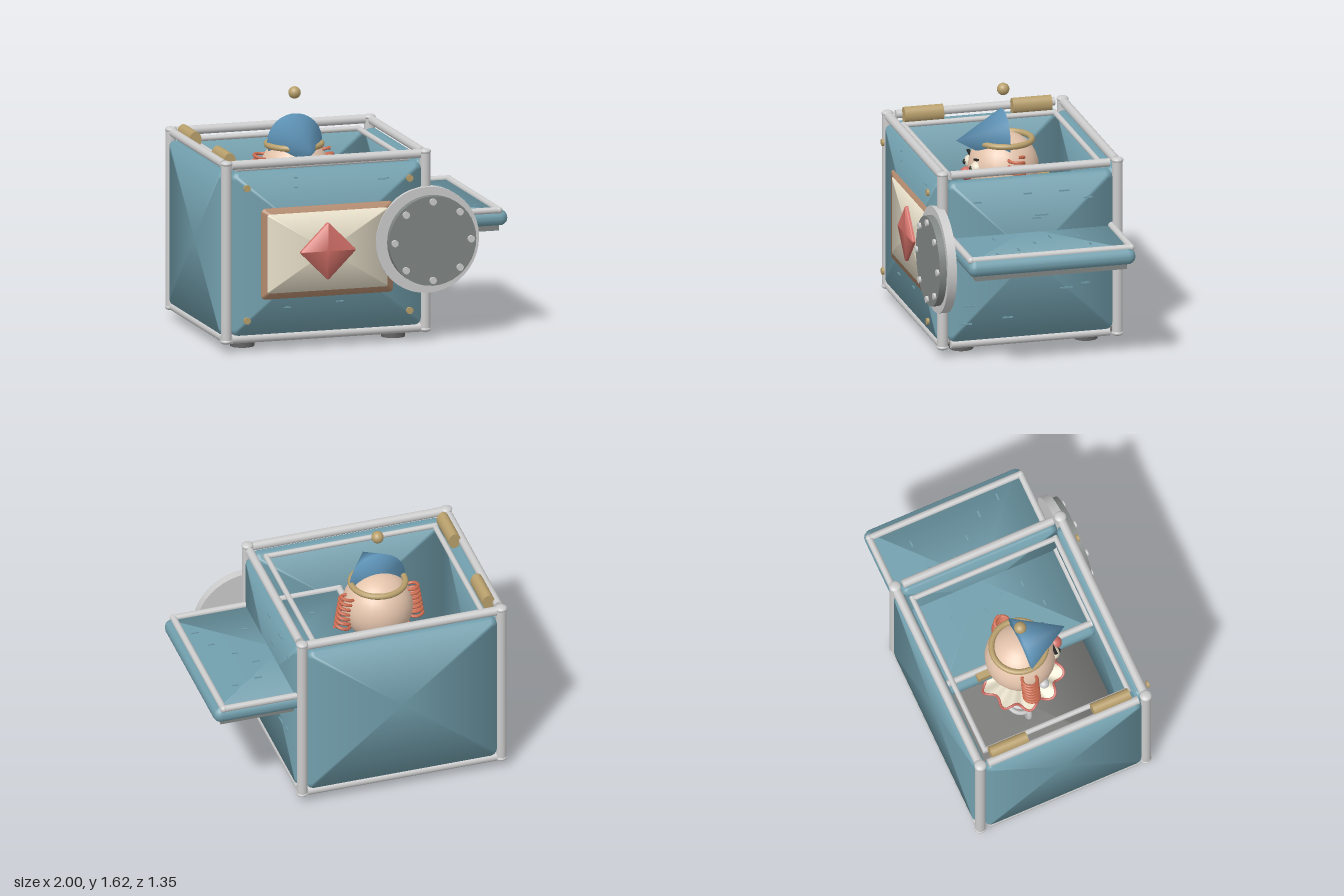
import * as THREE from 'three';
import { mergeVertices } from 'three/addons/utils/BufferGeometryUtils.js';

const C = { blue: 0x719eac, hat: 0x5f94b8, steel: 0xcccccc, dark: 0x808684, floor: 0x7c7c7a, foot: 0x626262,
  gold: 0xb89f6c, copper: 0xb0886c, cream: 0xe6dec8, red: 0xcf6e66, skin: 0xe4c4ac, hair: 0xcc6c50, black: 0x262626 };
const CX = -0.275, CZ = -0.04; // centre of the box

export function createModel() {
  const root = new THREE.Group();
  const mats = {};
  const mat = (c, open) => mats[c + (open ? 'o' : '')] ??= new THREE.MeshStandardMaterial({
    color: C[c], side: open ? THREE.DoubleSide : THREE.FrontSide });
  const add = (name, geo, color, x = 0, y = 0, z = 0, open = false) => {
    const m = new THREE.Mesh(geo, mat(color, open));
    m.name = name;
    m.position.set(x, y, z);
    root.add(m);
    return m;
  };
  const ball = (name, r, color, x, y, z) => add(name, new THREE.SphereGeometry(r, 24, 16), color, x, y, z);
  // Round bar between two points
  const bar = (name, a, b, r, color = 'steel') => {
    const p = new THREE.Vector3(...a), q = new THREE.Vector3(...b);
    const m = add(name, new THREE.CylinderGeometry(r, r, p.distanceTo(q), 40), color);
    m.position.copy(p).lerp(q, 0.5);
    m.quaternion.setFromUnitVectors(new THREE.Vector3(0, 1, 0), q.sub(p).normalize());
    return m;
  };
  // Upright coil centred on its own origin
  const coil = (name, r, height, turns, wire, color, x, y, z) => {
    const pts = [];
    for (let i = 0; i <= turns * 12; i++) {
      const a = i / 12 * Math.PI * 2;
      pts.push(new THREE.Vector3(r * Math.cos(a), height * (i / (turns * 12) - 0.5), r * Math.sin(a)));
    }
    return add(name, new THREE.TubeGeometry(new THREE.CatmullRomCurve3(pts), turns * 20, wire, 8), color, x, y, z);
  };

  // Four walls in the plane of the posts, and floor
  for (const s of [-1, 1]) {
    add(s > 0 ? 'frontWall' : 'backWall', softPanel(1.31, 1.1, 0.08, 0.05), 'blue', CX, 0.65, CZ + s * 0.585);
    add(s > 0 ? 'leftWall' : 'rightWall', softPanel(1.12, 1.1, 0.08, 0.05), 'blue', CX + s * 0.675, 0.65, CZ).rotation.y = Math.PI / 2;
  }
  add('floor', softPanel(1.34, 1.16, 0.05, 0.04), 'floor', CX, 0.085, CZ).rotation.x = Math.PI / 2;

  // Corner posts, rails, inner rim, feet and hinges
  const px = 0.685, pz = 0.595;
  for (const sx of [-1, 1]) {
    for (const sz of [-1, 1]) {
      const x = CX + sx * px, z = CZ + sz * pz;
      bar('cornerPost', [x, 0.065, z], [x, 1.265, z], 0.035);
      for (const y of [0.07, 1.26]) ball('postCap', 0.04, 'steel', x, y, z).scale.y = 0.5;
      add('foot', new THREE.CylinderGeometry(0.08, 0.08, 0.07, 24), 'foot', CX + sx * 0.52, 0.035, CZ + sz * 0.423);
    }
    for (const y of [0.083, 1.247]) {
      bar('sideRail', [CX + sx * px, y, CZ - 0.54], [CX + sx * px, y, CZ + 0.54], 0.028);
      bar('longRail', [CX - 0.65, y, CZ + sx * pz], [CX + 0.65, y, CZ + sx * pz], 0.03);
    }
    bar('innerRim', [CX + sx * 0.58, 1.203, CZ - 0.515], [CX + sx * 0.58, 1.203, CZ + 0.515], 0.018);
    bar('innerRim', [CX - 0.595, 1.203, CZ + sx * 0.515], [CX + 0.595, 1.203, CZ + sx * 0.515], 0.018);
    const hz = CZ + sx * 0.368;
    bar('hinge', [-0.905, 1.255, hz - 0.133], [-0.905, 1.255, hz + 0.133], 0.042, 'gold').scale.z = 1.3;
  }

  // Lid lying level through the left wall
  add('lid', softPanel(1.27, 1.14, 0.105, 0.053, 0.05), 'blue', 0.365, 0.768, CZ).rotation.x = Math.PI / 2;
  add('lidUnderside', new THREE.BoxGeometry(1.16, 0.045, 1.03), 'dark', 0.365, 0.702, CZ);
  for (const s of [-1, 1]) {
    const x = 0.365 + s * 0.57, z = CZ + s * 0.545;
    bar('lidRail', [x, 0.822, CZ - 0.545], [x, 0.822, CZ + 0.545], 0.022);
    bar('lidRail', [-0.205, 0.822, z], [0.935, 0.822, z], 0.022);
    for (const t of [-1, 1]) ball('lidRailCap', 0.024, 'steel', x, 0.822, CZ + t * 0.545);
  }

  // Framed plaque with a diamond on the front wall
  add('plaqueFrame', softPanel(0.91, 0.61, 0.08, 0.03, 0.01), 'copper', CX, 0.645, 0.556);
  add('plaque', softPanel(0.83, 0.53, 0.06, 0.015, 0.008), 'cream', CX, 0.645, 0.572);
  add('plaqueDiamond', softPanel(0.275, 0.275, 0.04, 0.012, 0.01), 'red', -0.277, 0.645, 0.604).rotation.z = Math.PI / 4;
  for (const x of [-0.838, 0.283]) for (const y of [0.213, 1.1])
    bar('brassStud', [x, y, 0.614], [x, y, 0.63], 0.023, 'gold');

  // Crank plate with a ring of bolts
  bar('crankPlate', [0.41, 0.677, 0.553], [0.41, 0.677, 0.613], 0.355);
  bar('crankDisc', [0.43, 0.677, 0.61], [0.43, 0.677, 0.66], 0.3, 'dark');
  for (let i = 0; i < 8; i++) {
    const a = i * Math.PI / 4, x = 0.43 + 0.263 * Math.cos(a), y = 0.677 + 0.263 * Math.sin(a);
    bar('crankBolt', [x, y, 0.65], [x, y, 0.676], 0.023);
  }

  // Scratches on the left wall, front wall and lid
  const scratch = (x, y, z, sx, sy, sz) => add('scratch', new THREE.BoxGeometry(sx, sy, sz), 'blue', x, y, z);
  for (const [z, y, l] of [[0.325, 1.055, 0.05], [-0.015, 1.09, 0.055], [-0.265, 1.09, 0.07], [-0.43, 1.03, 0.06],
    [-0.11, 0.935, 0.09], [-0.08, 0.917, 0.06], [-0.14, 0.65, 0.03], [-0.18, 0.62, 0.02], [-0.31, 0.598, 0.08],
    [0.04, 0.565, 0.05], [-0.41, 0.443, 0.06], [-0.28, 0.42, 0.08], [0.375, 0.345, 0.07], [0.12, 0.248, 0.07], [0.41, 0.223, 0.09]])
    scratch(0.44, y, z, 0.012, 0.01, l);
  for (const [x, y, l] of [[-0.49, 1.145, 0.025], [-0.49, 1.08, 0.025], [0.1, 1.1, 0.05], [0.14, 1.105, 0.02], [-0.55, 0.28, 0.05], [-0.19, 0.3, 0.05]])
    scratch(x, y, 0.585, l, 0.008, 0.012);
  for (const [x, z, l] of [[0.19, -0.32, 0.05], [0.17, -0.09, 0.04], [0.24, 0.05, 0.04], [0.23, 0.2, 0.04], [0.05, 0.28, 0.04],
    [0.61, -0.31, 0.05], [0.78, -0.35, 0.04], [0.57, -0.13, 0.05], [0.67, 0.0, 0.04], [0.79, 0.14, 0.05], [0.53, 0.24, 0.04], [0.85, 0.3, 0.05]])
    scratch(x, 0.822, z, l, 0.012, 0.01);

  // Puppet on a spring, whose last loop dips through the floor
  const hx = -0.295, hz = -0.05, hy = 1.05;
  coil('spring', 0.085, 0.62, 6, 0.016, 'steel', hx, 0.43, hz);
  add('springEnd', new THREE.TorusGeometry(0.14, 0.018, 10, 40), 'steel', -0.28, 0.193, -0.038);

  // Ruffled collar with trim
  const ruffle = a => [0.262 + 0.025 * Math.sin(10 * a), 0.76 + 0.02 * Math.cos(10 * a)];
  const collar = new THREE.RingGeometry(0.03, 1, 88, 3).rotateX(-Math.PI / 2);
  const P = collar.attributes.position;
  for (let i = 0; i < P.count; i++) {
    const x = P.getX(i), z = P.getZ(i), t = Math.hypot(x, z), [r, y] = ruffle(Math.atan2(z, x));
    P.setXYZ(i, x * r, 0.78 + (y - 0.78) * t, z * r);
  }
  collar.computeVertexNormals();
  add('collar', collar, 'cream', hx, 0, hz, true);
  const rim = Array.from({ length: 88 }, (_, i) => {
    const a = i / 88 * Math.PI * 2, [r, y] = ruffle(a);
    return new THREE.Vector3(r * Math.cos(a), y, r * Math.sin(a));
  });
  add('collarTrim', new THREE.TubeGeometry(new THREE.CatmullRomCurve3(rim, true), 176, 0.009, 6, true), 'red', hx, 0, hz);

  // Head, face and hair
  ball('head', 0.235, 'skin', hx, hy, hz);
  for (const s of [-1, 1]) {
    ball('eye', 0.045, 'cream', hx + s * 0.08, 1.075, 0.15);
    ball('pupil', 0.02, 'black', hx + s * 0.08, 1.075, 0.184);
    const brow = add('eyebrow', new THREE.BoxGeometry(0.07, 0.012, 0.02), 'black', hx + s * 0.085, 1.135, 0.157);
    brow.rotation.z = s * 0.2;
    ball('ear', 0.035, 'steel', hx + s * 0.225, 1.0, 0.02);
    coil('hairCurl', 0.05, 0.26, 7, 0.011, 'hair', hx + s * 0.235, 1.05, -0.08).rotation.z = s * 0.15;
  }
  ball('nose', 0.045, 'red', hx, 1.02, 0.2);
  const smile = add('smile', new THREE.TorusGeometry(0.09, 0.01, 8, 20, Math.PI * 0.8), 'red', hx, 1.0, 0.155);
  smile.rotation.z = Math.PI * 1.1;
  add('backPeg', new THREE.BoxGeometry(0.045, 0.05, 0.12), 'gold', hx, 0.96, -0.3);

  // Hat: closed cone pointing forward with a soft rim, brim ring and bobble
  const cone = new THREE.ConeGeometry(0.19, 0.32, 40).rotateX(Math.PI / 2);
  cone.deleteAttribute('uv');
  cone.deleteAttribute('normal');
  const hat = mergeVertices(cone);
  hat.computeVertexNormals();
  add('hat', hat, 'hat', hx, 1.25, 0.11);
  add('hatBrim', new THREE.TorusGeometry(0.18, 0.02, 12, 48).rotateX(Math.PI / 2), 'gold', hx, 1.235, -0.06);
  ball('bobble', 0.041, 'gold', hx, 1.58, -0.05);
  return root;
}

// Panel with rounded corners (r) and rounded edges (b), thickness along z; each face is a fan with tilted border normals
function softPanel(w, h, d, r, b = 0.03) {
  const K = 5, n = 4 * K, steps = 4, rings = [];
  for (const s of [-1, 1]) for (let j = 0; j <= steps; j++) {
    const t = (s < 0 ? steps - j : j) / steps * Math.PI / 2; // 0 at the rim, 90 degrees on the face
    const tilt = Math.min(t, Math.PI / 4);
    rings.push([b * (1 - Math.cos(t)), s * (d / 2 - b + b * Math.sin(t)), Math.cos(tilt), s * Math.sin(tilt)]);
  }
  const pos = [], nor = [], idx = [], last = (rings.length - 1) * n, mid = rings.length * n;
  for (const [inset, z, out, nz] of rings) for (let i = 0; i < n; i++) {
    const q = Math.floor(i / K), a = (q + (i % K) / (K - 1)) * Math.PI / 2;
    const sx = q === 0 || q === 3 ? 1 : -1, sy = q < 2 ? 1 : -1;
    pos.push(sx * (w / 2 - r) + (r - inset) * Math.cos(a), sy * (h / 2 - r) + (r - inset) * Math.sin(a), z);
    nor.push(out * Math.cos(a), out * Math.sin(a), nz);
  }
  pos.push(0, 0, -d / 2, 0, 0, d / 2);
  nor.push(0, 0, -1, 0, 0, 1);
  for (let i = 0; i < n; i++) {
    const k = (i + 1) % n;
    for (let j = 0; j < last; j += n) idx.push(j + i, j + k, j + n + k, j + i, j + n + k, j + n + i);
    idx.push(mid, k, i, mid + 1, last + i, last + k);
  }
  const g = new THREE.BufferGeometry();
  g.setAttribute('position', new THREE.Float32BufferAttribute(pos, 3));
  g.setAttribute('normal', new THREE.Float32BufferAttribute(nor, 3));
  g.setIndex(idx);
  return g;
}
